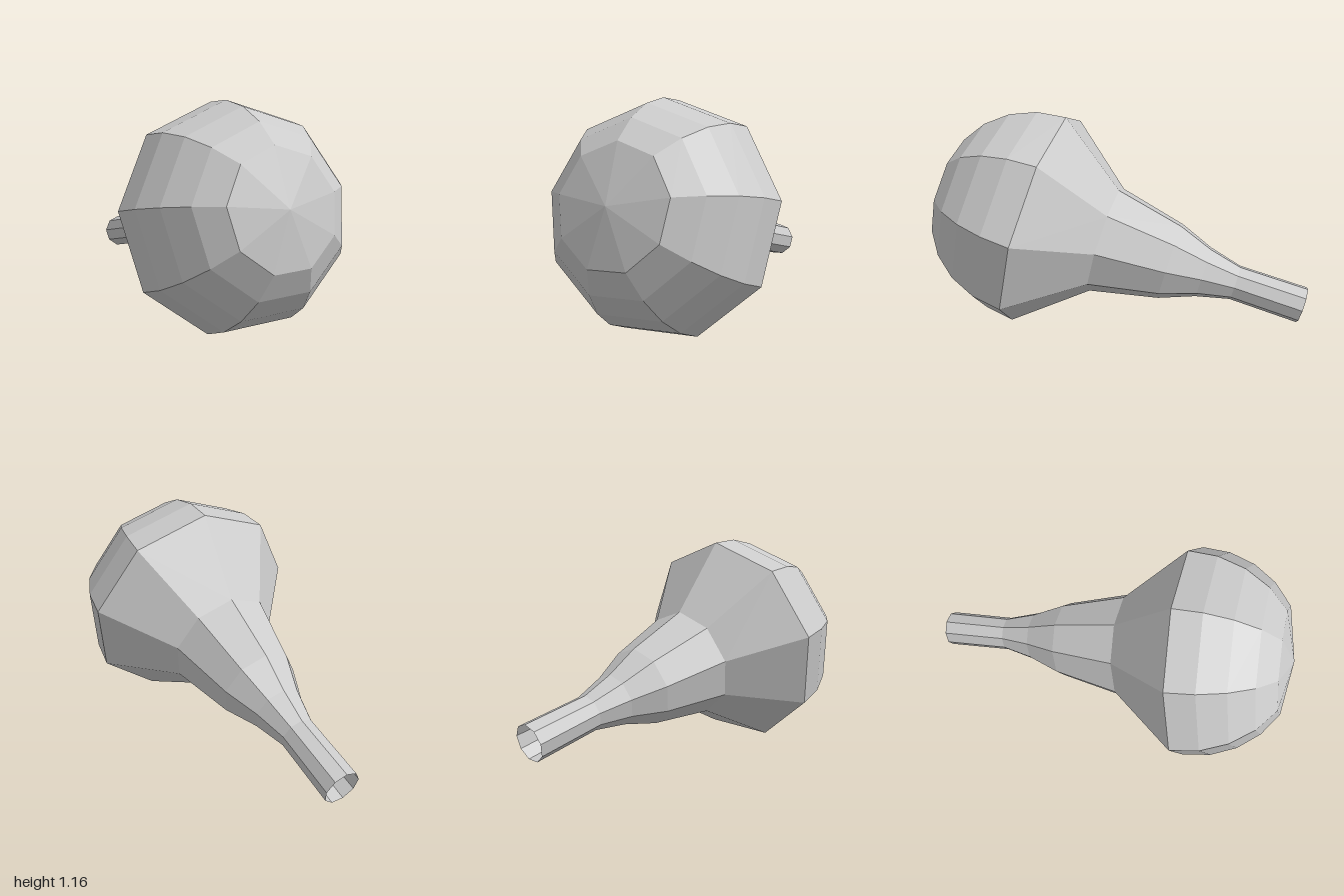
import * as THREE from 'three';

const SIDES = 9;

// nine-sided turned surface; each profile entry is [radius, distance along the axis]
function turned(name, profile, material) {
  const points = profile.map(([r, t]) => new THREE.Vector2(r, t));
  const mesh = new THREE.Mesh(new THREE.LatheGeometry(points, SIDES), material);
  mesh.name = name;
  return mesh;
}

export function createModel() {
  const material = new THREE.MeshStandardMaterial({
    color: 0xcccccc, flatShading: true, side: THREE.DoubleSide,
  });

  // rounded bulb: quarter-circle profile in 15 degree steps, slightly flattened tip
  const R = 0.6;
  const dome = [];
  for (let i = 0; i <= 4; i++) {
    const a = THREE.MathUtils.degToRad(15 * i);
    dome.push([R * Math.cos(a), R * Math.sin(a)]);
  }
  dome.push([0, 0.57]);

  // open, tapering neck, from its far end up to the bulb rim
  const neck = [
    [0.098, -1.464], [0.095, -1.096], [0.14, -0.92],
    [0.215, -0.733], [0.3, -0.365], [R, 0],
  ];

  const body = new THREE.Group();
  body.name = 'body';
  body.add(turned('bulb', dome, material), turned('neck', neck, material));

  // tilt the axis so the neck points back, down and to the left
  const axis = new THREE.Vector3(-0.26, 0.234, 0.937).normalize();
  const up = new THREE.Vector3(0.01, 0.593, -0.127);
  up.addScaledVector(axis, -up.dot(axis)).normalize();
  const side = new THREE.Vector3().crossVectors(axis, up);
  body.quaternion.setFromRotationMatrix(new THREE.Matrix4().makeBasis(side, axis, up));
  body.position.set(-0.011, 0.567, 0.407);

  const model = new THREE.Group();
  model.name = 'model';
  model.add(body);
  return model;
}
